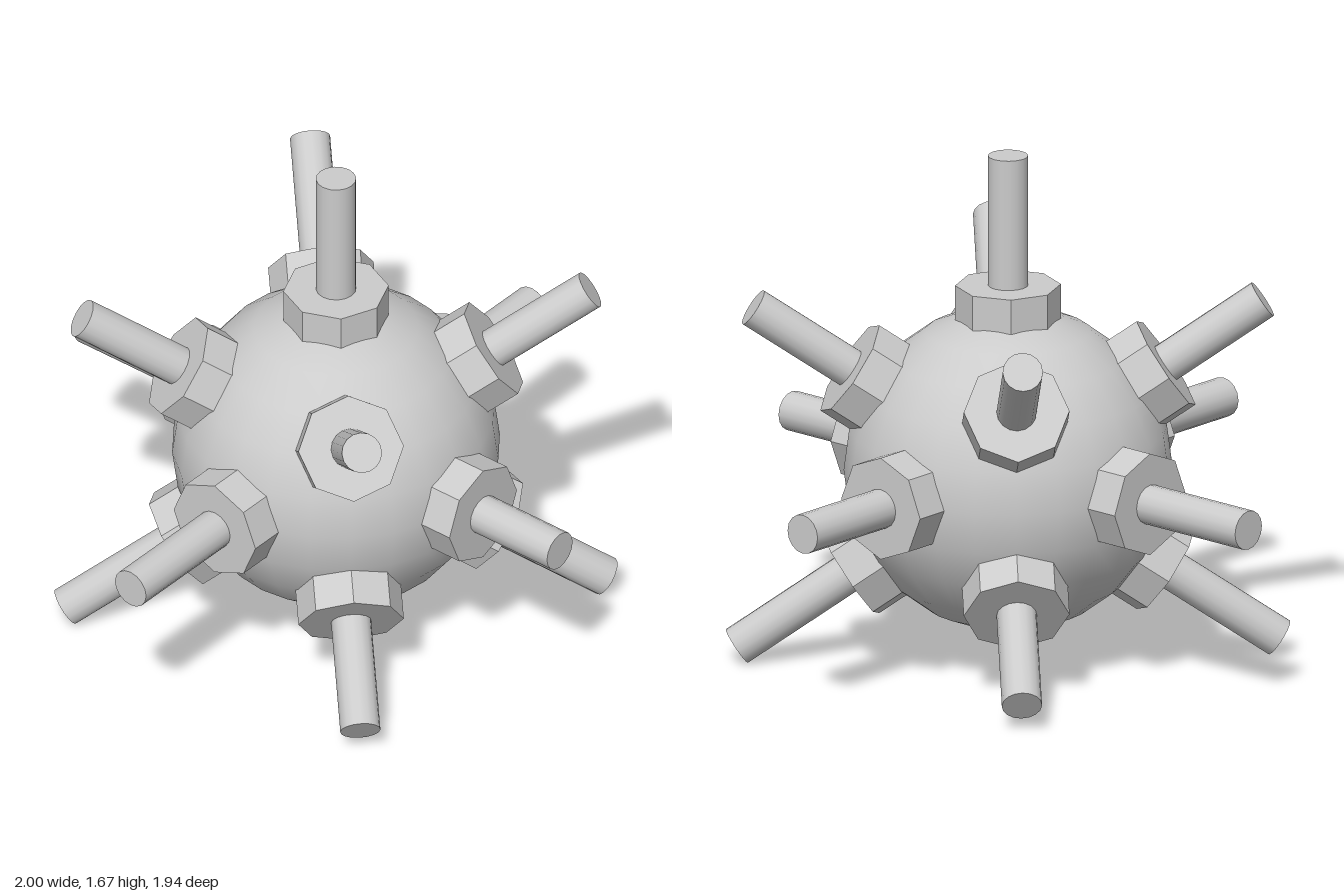
import * as THREE from 'three';

const RADIUS = 0.522;
const CENTRE = new THREE.Vector3(0.024, 0.63, 0.05);

export function createModel() {
  const model = new THREE.Group();
  const smooth = new THREE.MeshStandardMaterial({ color: 0xcccccc });
  const faceted = new THREE.MeshStandardMaterial({ color: 0xcccccc, flatShading: true });
  model.position.copy(CENTRE);

  // Round body, its two poles flattened to the nearest ring
  const ball = new THREE.SphereGeometry(RADIUS, 24, 12);
  const cap = RADIUS * Math.cos(Math.PI / 12);
  const p = ball.attributes.position;
  for (let i = 0; i < p.count; i++) p.setY(i, THREE.MathUtils.clamp(p.getY(i), -cap, cap));
  const body = new THREE.Mesh(ball, smooth);
  body.name = 'body';
  model.add(body);

  const collarGeometry = new THREE.CylinderGeometry(0.168, 0.168, 0.165, 8);

  // Eight-sided collar with a round rod, pointing out along +y of its group
  function addSpike(name, azimuth, elevation, tip) {
    const spike = new THREE.Group();
    spike.name = name;
    const collar = new THREE.Mesh(collarGeometry, faceted);
    collar.name = 'collar';
    collar.position.y = 0.5225;
    const base = 0.45;
    const rod = new THREE.Mesh(new THREE.CylinderGeometry(0.064, 0.064, tip - base, 16), smooth);
    rod.name = 'rod';
    rod.position.y = (tip + base) / 2;
    spike.add(collar, rod);
    // tilt from upright towards +z, then turn about the vertical
    spike.rotation.set(Math.PI / 2 - elevation, azimuth, 0, 'YXZ');
    model.add(spike);
  }

  // Spikes along the axes; none underneath
  addSpike('topSpike', 0, Math.PI / 2, 1.034);
  addSpike('frontSpike', 0, 0, 0.92);
  addSpike('leftSpike', Math.PI / 2, 0, 0.976);
  addSpike('backSpike', Math.PI, 0, 1.024);
  addSpike('rightSpike', -Math.PI / 2, 0, 1.024);

  // Diagonal spikes, alternately shorter and longer
  const slope = THREE.MathUtils.degToRad(33.9);
  for (const x of [1, -1]) for (const y of [1, -1]) for (const z of [1, -1]) {
    const name = (y > 0 ? 'upper' : 'lower') + (z > 0 ? 'Front' : 'Back') + (x > 0 ? 'Left' : 'Right') + 'Spike';
    addSpike(name, Math.atan2(x, z), y * slope, x * y * z > 0 ? 0.975 : 1.037);
  }

  const group = new THREE.Group();
  group.name = 'spikedBall';
  group.add(model);
  return group;
}
